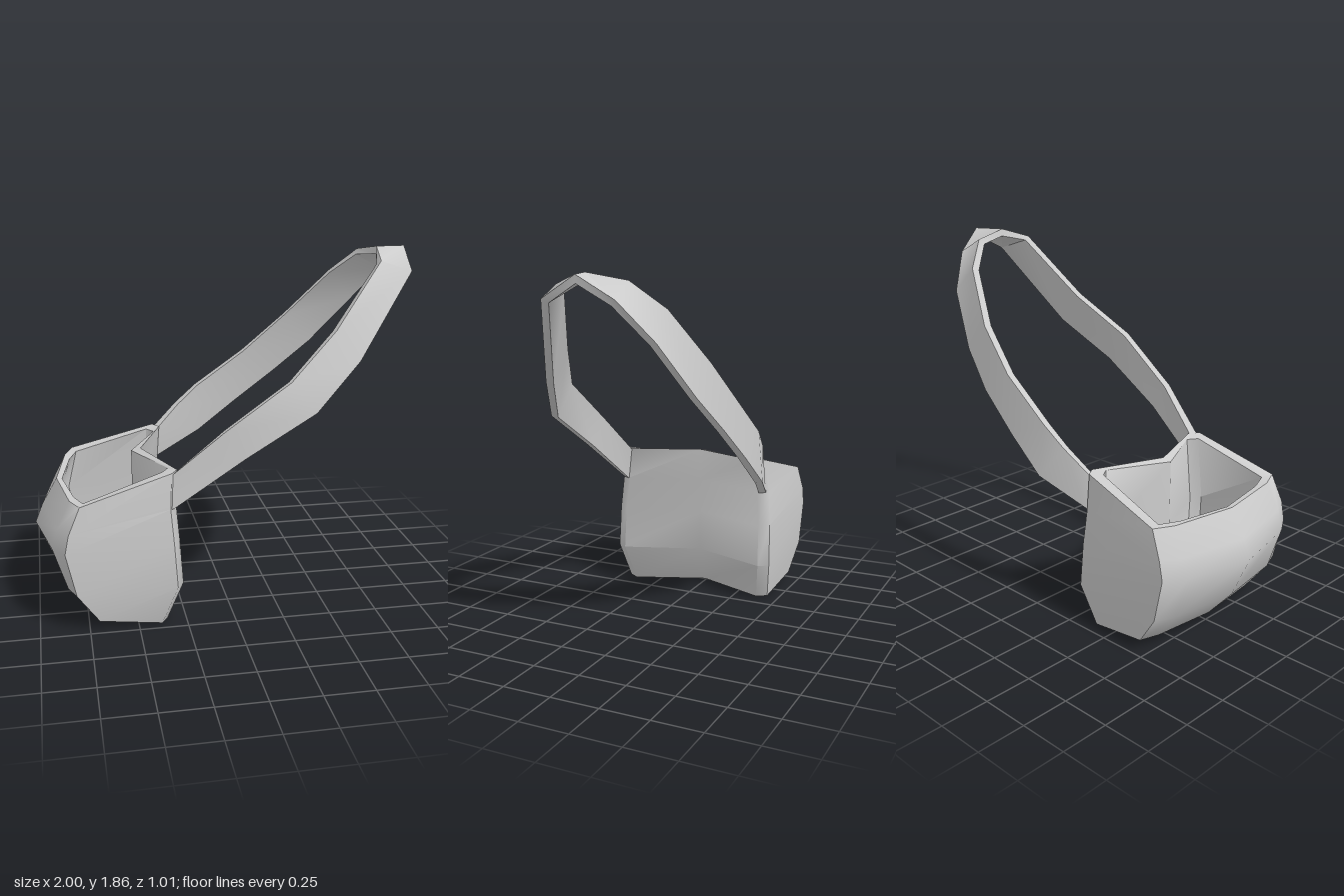
import * as THREE from 'three';
import { toCreasedNormals } from 'three/addons/utils/BufferGeometryUtils.js';

const material = new THREE.MeshStandardMaterial({ color: 0xcccccc });

// Skin a list of closed rings, closing both ends onto their centres
function loft(name, rings, crease) {
  const centre = (ring) => {
    const c = new THREE.Vector3();
    ring.forEach((p) => c.addScaledVector(p, 1 / ring.length));
    return ring.map(() => c);
  };
  const all = [centre(rings[0]), ...rings, centre(rings[rings.length - 1])];
  const pos = [];
  const tri = (a, b, c) => {
    if (a === b || b === c || a === c) return;
    for (const p of [a, b, c]) pos.push(p.x, p.y, p.z);
  };
  for (let i = 0; i < all.length - 1; i++) {
    const n = all[i].length;
    for (let j = 0; j < n; j++) {
      const k = (j + 1) % n;
      tri(all[i][j], all[i][k], all[i + 1][k]);
      tri(all[i][j], all[i + 1][k], all[i + 1][j]);
    }
  }
  const geo = new THREE.BufferGeometry();
  geo.setAttribute('position', new THREE.Float32BufferAttribute(pos, 3));
  const mesh = new THREE.Mesh(toCreasedNormals(geo, crease), material);
  mesh.name = name;
  return mesh;
}

// One level of the pouch: bowed outer wall, straight sides, V-shaped inner wall
function pouchRing([outMid, outSide, yOut, inMid, inSide, yIn, zOut, zIn]) {
  const half = [
    [inSide + 0.015, yIn, zIn - 0.055],
    [inSide - 0.02, yIn, zIn],
    [outSide, yOut + 0.01, zOut],
    [outMid + (outSide - outMid) * 0.55, yOut + 0.005, zOut - 0.11],
  ];
  const v = ([x, y, z], s) => new THREE.Vector3(x, y, z * s + 0.01);
  return [
    v([inMid, yIn, 0], 1),
    ...half.map((p) => v(p, -1)),
    v([outMid, yOut, 0], 1),
    ...half.slice().reverse().map((p) => v(p, 1)),
  ];
}

export function createModel() {
  const group = new THREE.Group();
  group.name = 'shoulderBag';

  // Pouch: outside from the base up, over the rim, then down the inside
  const levels = [
    [-0.76, -0.70, 0.04, -0.50, -0.36, 0.00, 0.46, 0.44],
    [-0.90, -0.81, 0.20, -0.42, -0.28, 0.21, 0.485, 0.475],
    [-1.00, -0.86, 0.43, -0.42, -0.295, 0.44, 0.49, 0.47],
    [-0.96, -0.84, 0.53, -0.42, -0.31, 0.63, 0.49, 0.455],
    [-0.88, -0.78, 0.67, -0.43, -0.30, 0.81, 0.475, 0.43],
    [-0.85, -0.76, 0.665, -0.48, -0.34, 0.80, 0.41, 0.37],
    [-0.93, -0.81, 0.45, -0.48, -0.35, 0.45, 0.42, 0.40],
    [-0.85, -0.75, 0.20, -0.48, -0.34, 0.20, 0.42, 0.40],
    [-0.74, -0.68, 0.09, -0.53, -0.40, 0.07, 0.40, 0.39],
  ];
  group.add(loft('pouch', levels.map(pouchRing), 0.95));

  // Strap: upper and lower edge of the band, from front root over the top to back root
  const band = [
    [-0.36, 0.76, 0.41, -0.37, 0.60, 0.44],
    [-0.30, 0.81, 0.43, -0.31, 0.63, 0.455],
    [-0.06, 1.02, 0.48, 0.04, 0.88, 0.495],
    [0.27, 1.26, 0.49, 0.40, 1.10, 0.50],
    [0.53, 1.48, 0.355, 0.66, 1.32, 0.36],
    [0.80, 1.80, 0.20, 0.98, 1.74, 0.17],
    [0.83, 1.855, 0.03, 1.00, 1.85, -0.02],
    [0.79, 1.82, -0.17, 0.935, 1.74, -0.18],
    [0.68, 1.69, -0.31, 0.82, 1.55, -0.32],
    [0.45, 1.43, -0.425, 0.60, 1.28, -0.42],
    [0.22, 1.22, -0.47, 0.40, 1.10, -0.475],
    [-0.06, 1.02, -0.48, 0.17, 0.92, -0.50],
    [-0.18, 0.92, -0.46, -0.05, 0.75, -0.51],
    [-0.30, 0.81, -0.415, -0.31, 0.63, -0.435],
    [-0.36, 0.76, -0.39, -0.37, 0.60, -0.42],
  ].map((p) => [new THREE.Vector3(...p.slice(0, 3)), new THREE.Vector3(...p.slice(3))]);

  const mids = band.map(([u, l]) => u.clone().add(l).multiplyScalar(0.5));
  const rings = band.map(([u, l], i) => {
    const along = mids[Math.min(i + 1, mids.length - 1)].clone().sub(mids[Math.max(i - 1, 0)]);
    const inward = along.cross(u.clone().sub(l)).normalize().multiplyScalar(-0.04);
    return [u, l, l.clone().add(inward), u.clone().add(inward)];
  });
  group.add(loft('strap', rings, 0.8));

  return group;
}
